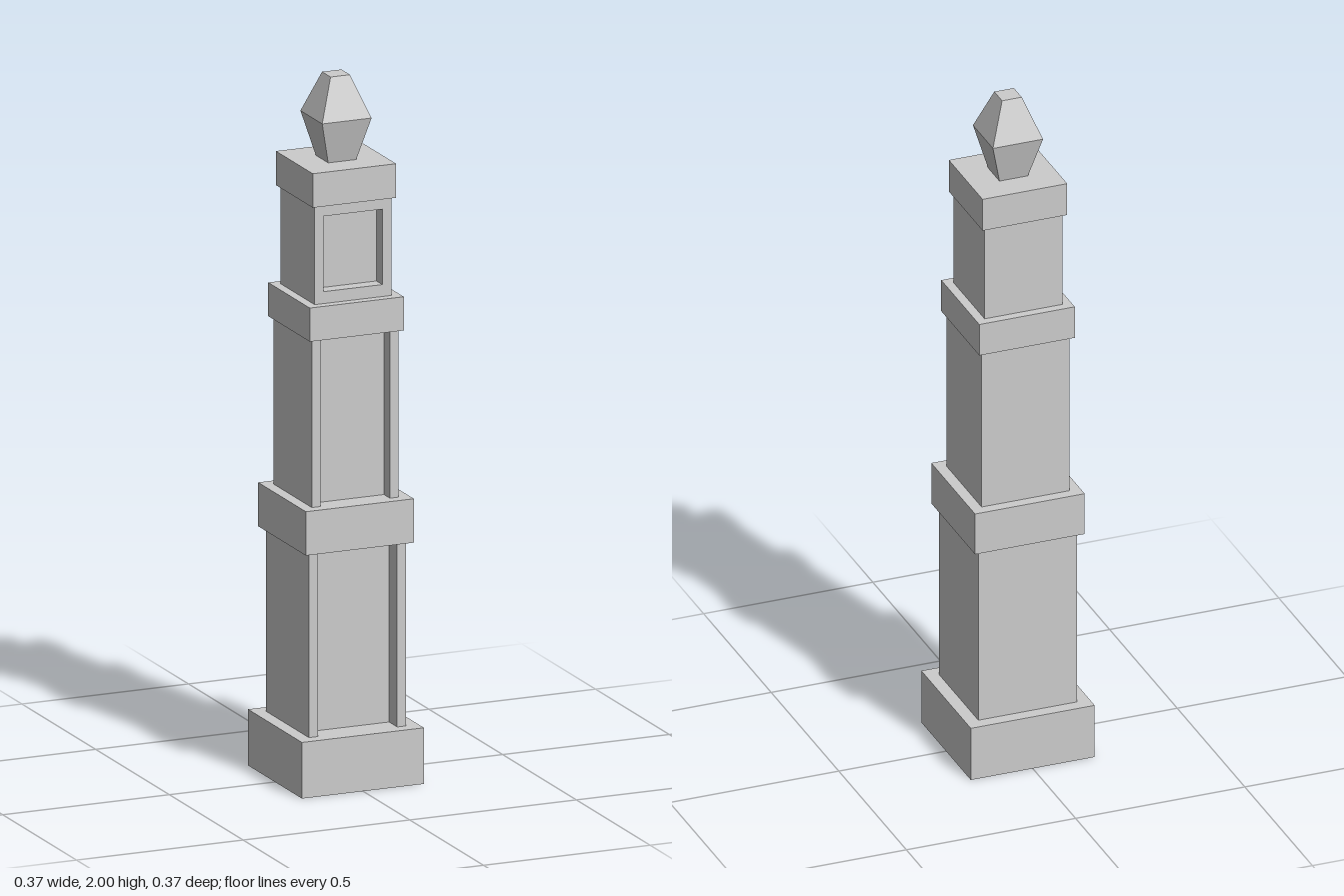
import * as THREE from 'three';

const material = new THREE.MeshStandardMaterial({ color: 0xcccccc, flatShading: true });

function addMesh(group, name, geometry) {
  const mesh = new THREE.Mesh(geometry, material);
  mesh.name = name;
  group.add(mesh);
  return mesh;
}

// Square block from its half width and its bottom and top heights
function addBlock(group, name, half, y0, y1) {
  addMesh(group, name, new THREE.BoxGeometry(half * 2, y1 - y0, half * 2)).position.y = (y0 + y1) / 2;
}

// Shaft with a full-height channel in its front face, extruded from its plan
function addChannelShaft(group, name, half, y0, y1, inner, depth) {
  const plan = new THREE.Shape([
    [-half, -half], [-inner, -half], [-inner, depth - half], [inner, depth - half],
    [inner, -half], [half, -half], [half, half], [-half, half],
  ].map(([x, y]) => new THREE.Vector2(x, y)));
  const geometry = new THREE.ExtrudeGeometry(plan, { depth: y1 - y0, bevelEnabled: false });
  geometry.rotateX(-Math.PI / 2);
  addMesh(group, name, geometry).position.y = y0;
}

// Shaft with a framed rectangular niche in its front face
function addNicheShaft(group, name, half, y0, y1, inner, n0, n1, depth) {
  const shaft = new THREE.Group();
  shaft.name = name;
  const core = addMesh(shaft, 'shaftCore', new THREE.BoxGeometry(half * 2, y1 - y0, half * 2 - depth));
  core.position.set(0, (y0 + y1) / 2, -depth / 2);
  const rect = (Type, x, a, b) => new Type([
    new THREE.Vector2(-x, a), new THREE.Vector2(x, a), new THREE.Vector2(x, b), new THREE.Vector2(-x, b),
  ]);
  const face = rect(THREE.Shape, half, y0, y1);
  face.holes.push(rect(THREE.Path, inner, n0, n1));
  const frame = new THREE.ExtrudeGeometry(face, { depth, bevelEnabled: false });
  addMesh(shaft, 'nicheFrame', frame).position.z = half - depth;
  group.add(shaft);
}

// Square frustum from its bottom and top half widths
function addFrustum(group, name, bottom, top, y0, y1) {
  const geometry = new THREE.CylinderGeometry(top * Math.SQRT2, bottom * Math.SQRT2, y1 - y0, 4);
  geometry.rotateY(Math.PI / 4);
  addMesh(group, name, geometry).position.y = (y0 + y1) / 2;
}

export function createModel() {
  const tower = new THREE.Group();
  tower.name = 'tower';

  // Plinth, bands and cap
  addBlock(tower, 'plinth', 0.183, 0, 0.16);
  addBlock(tower, 'lowerBand', 0.162, 0.685, 0.81);
  addBlock(tower, 'upperBand', 0.141, 1.287, 1.383);
  addBlock(tower, 'cap', 0.125, 1.663, 1.76);

  // Three tapering stages
  addChannelShaft(tower, 'lowerShaft', 0.146, 0.16, 0.685, 0.119, 0.055);
  addChannelShaft(tower, 'middleShaft', 0.13, 0.81, 1.287, 0.104, 0.04);
  addNicheShaft(tower, 'upperShaft', 0.115, 1.383, 1.663, 0.088, 1.417, 1.632, 0.04);

  // Faceted finial
  const finial = new THREE.Group();
  finial.name = 'finial';
  addFrustum(finial, 'finialBase', 0.042, 0.074, 1.76, 1.883);
  addFrustum(finial, 'finialTip', 0.074, 0.029, 1.883, 2);
  tower.add(finial);

  return tower;
}
